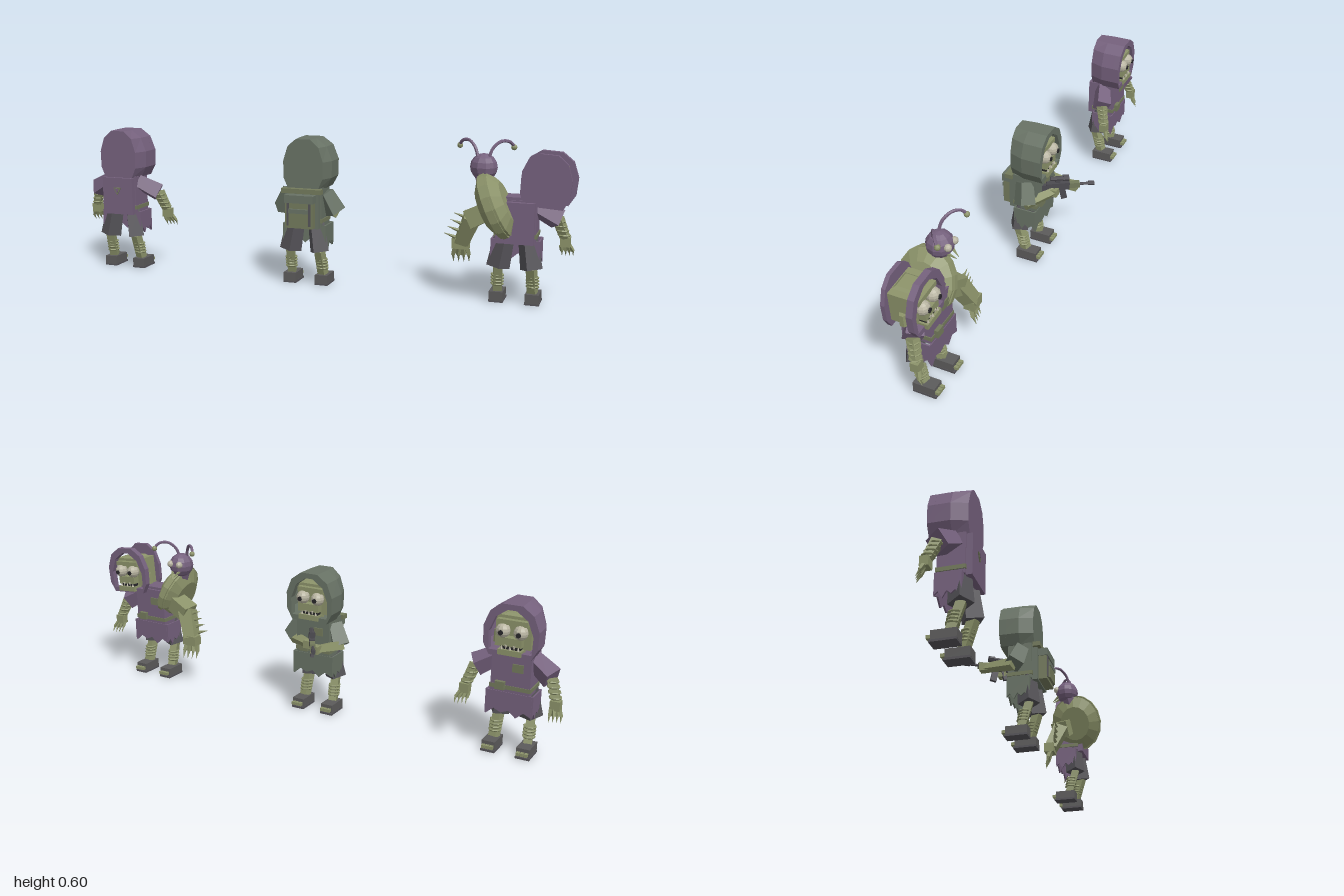
import * as THREE from 'three';

const mat = (name, color, side = THREE.FrontSide) => {
  const m = new THREE.MeshStandardMaterial({ color, side, flatShading: true });
  m.name = name;
  return m;
};
const V = (p) => new THREE.Vector3(...p);
const UP = new THREE.Vector3(0, 1, 0);

export function createModel() {
  const purple = mat('purple cloth', 0x75617d, THREE.DoubleSide);
  const greyGreen = mat('grey green cloth', 0x687265, THREE.DoubleSide);
  const skin = mat('olive skin', 0x8c936a);
  const charcoal = mat('charcoal trousers', 0x555358);
  const leather = mat('dark leather', 0x5c5b5b);
  const metal = mat('gun metal', 0x4c4a50);
  const pack = mat('canvas', 0x737a5c);
  const bone = mat('bone white', 0xb9b5a2);
  const black = mat('black', 0x28272a);

  const add = (parent, name, geo, m, pos = [0, 0, 0], rot = [0, 0, 0]) => {
    const mesh = new THREE.Mesh(geo, m);
    mesh.name = name;
    mesh.position.set(...pos);
    mesh.rotation.set(...rot);
    parent.add(mesh);
    return mesh;
  };
  const box = (p, name, m, w, h, d, pos, rot) => add(p, name, new THREE.BoxGeometry(w, h, d), m, pos, rot);
  const ball = (p, name, m, r, pos) => add(p, name, new THREE.SphereGeometry(r, 10, 8), m, pos);
  // Tapered prism between two points; w0 and w1 are its widths at the ends
  const limb = (p, name, m, a, b, w0, w1, sides = 4) => {
    const va = V(a), vb = V(b), dir = vb.clone().sub(va), k = sides === 4 ? 0.707 : 0.5;
    const geo = new THREE.CylinderGeometry(w1 * k, w0 * k, dir.length(), sides);
    if (sides === 4) geo.rotateY(Math.PI / 4);
    const mesh = add(p, name, geo, m, va.clone().add(vb).multiplyScalar(0.5).toArray());
    mesh.quaternion.setFromUnitVectors(UP, dir.normalize());
    return mesh;
  };
  const wraps = (p, name, a, b, r, count) => {
    const va = V(a), vb = V(b);
    for (let i = 0; i < count; i++) {
      const ring = add(p, name, new THREE.TorusGeometry(r, 0.004, 5, 8), skin,
        va.clone().lerp(vb, (i + 0.5) / count).toArray());
      ring.rotation.x = Math.PI / 2;
    }
  };

  // Half outline of the hood, from bottom to crown
  const half = [[0.076, 0.38], [0.098, 0.42], [0.1, 0.485], [0.078, 0.54], [0.036, 0.57]];
  const outline = (k = 1, inset = 0) => {
    const right = half.map(([x, y]) => [(x - inset) * k, y + (y < 0.4 ? inset : -inset)]);
    return [...right, ...right.slice().reverse().map(([x, y]) => [-x, y])];
  };
  const shape = (pts) => new THREE.Shape(pts.map(([x, y]) => new THREE.Vector2(x, y)));
  const hoodRim = (p, m, z, depth) => {
    const s = shape(outline());
    s.holes.push(shape(outline(1, 0.02)));
    add(p, 'hoodRim', new THREE.ExtrudeGeometry(s, { depth, bevelEnabled: false }), m, [0, 0, z]);
  };
  const hoodShell = (p, m) => {
    const rings = [[1, -0.045], [0.99, 0.03], [0.8, 0.084]];
    const n = half.length * 2, pos = [], idx = [];
    rings.forEach(([k, z]) => outline(k).forEach(([x, y]) => pos.push(x, y, z)));
    for (let r = 0; r < 2; r++) for (let i = 0; i < n; i++) {
      const a = r * n + i, b = r * n + (i + 1) % n;
      idx.push(a, b, a + n, b, b + n, a + n);
    }
    for (let i = 1; i < n - 1; i++) idx.push(2 * n, 2 * n + i, 2 * n + i + 1);
    const geo = new THREE.BufferGeometry();
    geo.setAttribute('position', new THREE.Float32BufferAttribute(pos, 3));
    geo.setIndex(idx);
    geo.computeVertexNormals();
    add(p, 'hood', geo, m);
    hoodRim(p, m, -0.048, 0.025);
  };

  const face = (p) => {
    box(p, 'head', skin, 0.13, 0.115, 0.085, [0, 0.465, 0.022]);
    limb(p, 'skullTop', skin, [0, 0.52, 0.022], [0, 0.53, 0.022], 0.085, 0.06);
    box(p, 'brow', skin, 0.11, 0.018, 0.025, [0, 0.503, -0.028]);
    box(p, 'muzzle', skin, 0.08, 0.03, 0.035, [0, 0.435, -0.032]);
    box(p, 'mouth', black, 0.07, 0.018, 0.03, [0, 0.414, -0.03]);
    box(p, 'jaw', skin, 0.085, 0.02, 0.05, [0, 0.398, -0.03]);
    for (let i = -2; i <= 2; i++)
      add(p, 'tooth', new THREE.ConeGeometry(0.006, 0.018, 4), bone, [i * 0.015, 0.416, -0.049], [i % 2 ? Math.PI : 0, 0, 0]);
    for (const s of [-1, 1]) {
      ball(p, 'eye', bone, 0.026, [s * 0.032, 0.472, -0.038]);
      add(p, 'pupil', new THREE.CylinderGeometry(0.009, 0.009, 0.006, 8), black, [s * 0.032, 0.47, -0.063], [Math.PI / 2, 0, 0]);
      add(p, 'ear', new THREE.CylinderGeometry(0.014, 0.016, 0.045, 6), skin, [s * 0.067, 0.433, 0.015]);
    }
  };

  // Ragged cloth strip of given width hanging from its own origin
  const rag = (p, m, width, pos, ry) => {
    const pts = [[-width / 2, 0], [width / 2, 0]], n = 6;
    for (let i = 0; i <= n; i++) pts.push([width / 2 - (width * i) / n, i % 2 ? -0.068 : -0.092 + (i % 4) * 0.006]);
    add(p, 'raggedSkirt', new THREE.ExtrudeGeometry(shape(pts), { depth: 0.006, bevelEnabled: false }), m, pos, [0, ry, 0]);
  };

  const claws = (p, at, s, size) => {
    for (let i = -1; i <= 2; i++) {
      const a = [at[0] + i * 0.011 * size, at[1], at[2] - i * 0.004];
      const b = [a[0] + (s * 0.008 + i * 0.004) * size, a[1] - 0.026 * size, a[2] - 0.009];
      limb(p, 'finger', skin, a, b, 0.013 * size, 0.011 * size);
      limb(p, 'claw', skin, b, [b[0], b[1] - 0.024 * size, b[2] - 0.012], 0.01 * size, 0.001, 5);
    }
  };
  const arm = (p, cloth, s) => {
    const elbow = [s * 0.14, 0.315, 0.005], wrist = [s * 0.165, 0.245, -0.015];
    limb(p, 'sleeve', cloth, [s * 0.06, 0.36, 0.035], elbow, 0.05, 0.062);
    limb(p, 'forearm', skin, elbow, wrist, 0.034, 0.028);
    wraps(p, 'armWrap', elbow, wrist, 0.02, 4);
    box(p, 'hand', skin, 0.036, 0.035, 0.03, [s * 0.167, 0.228, -0.018]);
    claws(p, [s * 0.167 - 0.006, 0.214, -0.022], s, 0.85);
  };

  const bodyOf = (name, x, cloth) => {
    const g = new THREE.Group();
    g.name = name;
    g.position.x = x;
    box(g, 'torso', cloth, 0.145, 0.15, 0.095, [0, 0.31, 0.028]);
    box(g, 'backPanel', cloth, 0.135, 0.15, 0.022, [0, 0.305, 0.086]);
    box(g, 'collar', cloth, 0.12, 0.02, 0.08, [0, 0.385, 0.03]);
    box(g, 'belt', pack, 0.152, 0.015, 0.1, [0, 0.258, 0.028]);
    box(g, 'beltPouch', pack, 0.035, 0.03, 0.015, [0.035, 0.265, -0.027]);
    box(g, 'chestPatch', pack, 0.04, 0.03, 0.006, [-0.025, 0.335, -0.021]);
    rag(g, cloth, 0.165, [0, 0.24, -0.022], 0);
    for (const s of [-1, 1]) {
      rag(g, cloth, 0.085, [s * 0.082, 0.24, 0.022], s * Math.PI / 2);
      rag(g, cloth, 0.04, [s * 0.068, 0.24, 0.064], 0);
      const knee = [s * 0.06, 0.135, 0.06], ankle = [s * 0.064, 0.04, 0.03];
      limb(g, 'trouserLeg', charcoal, [s * 0.042, 0.245, 0.05], knee, 0.052, 0.06);
      limb(g, 'shin', skin, [s * 0.06, 0.14, 0.062], ankle, 0.031, 0.031);
      wraps(g, 'legWrap', [s * 0.063, 0.108, 0.045], [s * 0.064, 0.06, 0.036], 0.021, 4);
      box(g, 'shoe', leather, 0.05, 0.034, 0.085, [s * 0.065, 0.023, 0.018]);
      box(g, 'sole', charcoal, 0.053, 0.008, 0.09, [s * 0.065, 0.004, 0.015]);
      for (let i = -1; i <= 1; i++) box(g, 'toe', skin, 0.012, 0.012, 0.018, [s * 0.065 + i * 0.015, 0.021, -0.031]);
    }
    return g;
  };

  // Hooded scavenger
  const scout = bodyOf('hoodedScout', -0.803, purple);
  hoodShell(scout, purple);
  face(scout);
  for (const s of [-1, 1]) arm(scout, purple, s);
  add(scout, 'backPatch', new THREE.CylinderGeometry(0.02, 0.02, 0.006, 3), pack, [0, 0.33, 0.098], [Math.PI / 2, 0, 0]);
  add(scout, 'patchCentre', new THREE.CylinderGeometry(0.012, 0.012, 0.008, 3), purple, [0, 0.33, 0.099], [Math.PI / 2, 0, 0]);

  // Gunner with backpack
  const gunner = bodyOf('gunner', 0, greyGreen);
  hoodShell(gunner, greyGreen);
  face(gunner);
  box(gunner, 'backpack', pack, 0.11, 0.12, 0.035, [0, 0.295, 0.112]);
  box(gunner, 'packFlap', greyGreen, 0.116, 0.03, 0.042, [0, 0.347, 0.113]);
  box(gunner, 'packPocket', pack, 0.075, 0.06, 0.014, [0, 0.275, 0.132]);
  box(gunner, 'pocketFlap', greyGreen, 0.079, 0.016, 0.016, [0, 0.302, 0.133]);
  box(gunner, 'bedroll', pack, 0.16, 0.018, 0.03, [0, 0.374, 0.095]);
  for (const s of [-1, 1]) {
    box(gunner, 'packStrap', charcoal, 0.009, 0.11, 0.006, [s * 0.044, 0.3, 0.13]);
    const elbow = [s * 0.107, 0.285, 0.012], hand = s < 0 ? [-0.07, 0.3, -0.115] : [-0.005, 0.295, -0.06];
    limb(gunner, 'sleeve', greyGreen, [s * 0.07, 0.362, 0.03], elbow, 0.05, 0.062);
    limb(gunner, 'forearm', skin, elbow, hand, 0.036, 0.026);
    box(gunner, 'hand', skin, 0.032, 0.03, 0.032, hand);
  }
  const gun = new THREE.Group();
  gun.name = 'rifle';
  gun.position.set(0, 0.315, -0.03);
  gun.rotation.y = 0.57;
  gunner.add(gun);
  box(gun, 'receiver', metal, 0.022, 0.03, 0.09, [0, 0, -0.045]);
  box(gun, 'stock', metal, 0.018, 0.032, 0.04, [0, -0.008, 0.012]);
  box(gun, 'handguard', pack, 0.02, 0.022, 0.04, [0, 0, -0.11]);
  box(gun, 'grip', metal, 0.014, 0.04, 0.016, [0, -0.03, -0.025], [-0.3, 0, 0]);
  box(gun, 'magazine', metal, 0.014, 0.05, 0.024, [0, -0.035, -0.065], [0.2, 0, 0]);
  limb(gun, 'barrel', metal, [0, 0, -0.1], [0, 0, -0.18], 0.011, 0.011, 8);
  limb(gun, 'muzzleBrake', metal, [0, 0, -0.165], [0, 0, -0.188], 0.018, 0.018, 8);
  limb(gun, 'scope', metal, [0, 0.033, -0.015], [0, 0.033, -0.08], 0.018, 0.018, 8);
  limb(gun, 'scopeBell', metal, [0, 0.033, -0.065], [0, 0.033, -0.088], 0.026, 0.026, 8);
  box(gun, 'scopeMount', metal, 0.01, 0.02, 0.02, [0, 0.02, -0.045]);

  // Mutant with open hood, oversized arm and insect growth
  const mutant = bodyOf('mutant', 0.805, purple);
  const headGroup = new THREE.Group();
  headGroup.name = 'tiltedHead';
  headGroup.position.set(0.068, -0.015, 0);
  headGroup.rotation.z = -0.07;
  mutant.add(headGroup);
  face(headGroup);
  hoodRim(headGroup, purple, -0.042, 0.024);
  add(headGroup, 'hoodBack', new THREE.ExtrudeGeometry(shape(outline(0.88)), { depth: 0.015, bevelEnabled: false }), purple, [0, 0, 0.065]);
  arm(mutant, purple, 1);
  const elbow = [-0.175, 0.295, 0.02], wrist = [-0.21, 0.2, -0.015];
  limb(mutant, 'bigUpperArm', skin, [-0.06, 0.355, 0.03], elbow, 0.065, 0.07);
  limb(mutant, 'bigForearm', skin, [-0.165, 0.305, 0.022], wrist, 0.06, 0.05);
  box(mutant, 'bigHand', skin, 0.062, 0.04, 0.042, [-0.212, 0.195, -0.017]);
  claws(mutant, [-0.218, 0.18, -0.015], -0.4, 1.25);
  for (let i = 0; i < 4; i++) {
    const x = -0.192 - i * 0.012, y = 0.3 - i * 0.026;
    limb(mutant, 'armSpike', skin, [x, y, 0.01], [x - 0.045, y + 0.014, 0.012], 0.016, 0.001, 5);
  }

  // Insect growth: banded abdomen, round head and curled feelers
  const bug = new THREE.Group();
  bug.name = 'insectGrowth';
  mutant.add(bug);
  const hump = new THREE.Group();
  hump.position.set(-0.075, 0.362, 0.075);
  hump.rotation.z = 0.42;
  bug.add(hump);
  [[0.082, 0.96], [0.045, 1]].forEach(([w, k]) => {
    const geo = new THREE.CylinderGeometry(0.118 * k, 0.118 * k, w * 0.45, 16);
    geo.rotateZ(Math.PI / 2).scale(1, 1.08, 0.94);
    add(hump, 'abdomenBand', geo, skin);
  });
  for (const s of [-1, 1]) {
    const geo = new THREE.CylinderGeometry(0.07, 0.113, 0.028, 16);
    geo.rotateZ(-s * Math.PI / 2).scale(1, 1.08, 0.94);
    add(hump, 'abdomenSide', geo, skin, [s * 0.032, 0, 0]);
  }
  ball(bug, 'insectHead', purple, 0.05, [-0.125, 0.495, 0.045]);
  limb(bug, 'insectNeck', purple, [-0.11, 0.42, 0.06], [-0.125, 0.48, 0.05], 0.06, 0.07, 8);
  for (const s of [-1, 1]) {
    ball(bug, 'insectEye', bone, 0.014, [-0.125 + s * 0.022, 0.505, 0.002]);
    limb(bug, 'mandible', skin, [-0.125 + s * 0.016, 0.475, 0.01], [-0.125 + s * 0.006, 0.455, -0.02], 0.014, 0.002, 5);
    const path = new THREE.CatmullRomCurve3([[0.018, 0.525, 0.06], [0.032, 0.565, 0.05], [0.058, 0.588, 0.03], [0.085, 0.585, 0.01], [0.098, 0.568, -0.004]]
      .map(([x, y, z]) => new THREE.Vector3(-0.125 + s * x, y, z)));
    add(bug, 'feeler', new THREE.TubeGeometry(path, 12, 0.006, 6), purple);
    ball(bug, 'feelerTip', skin, 0.011, [-0.125 + s * 0.098, 0.564, -0.006]);
  }

  const model = new THREE.Group();
  model.name = 'creatureTrio';
  model.add(scout, gunner, mutant);
  return model;
}
